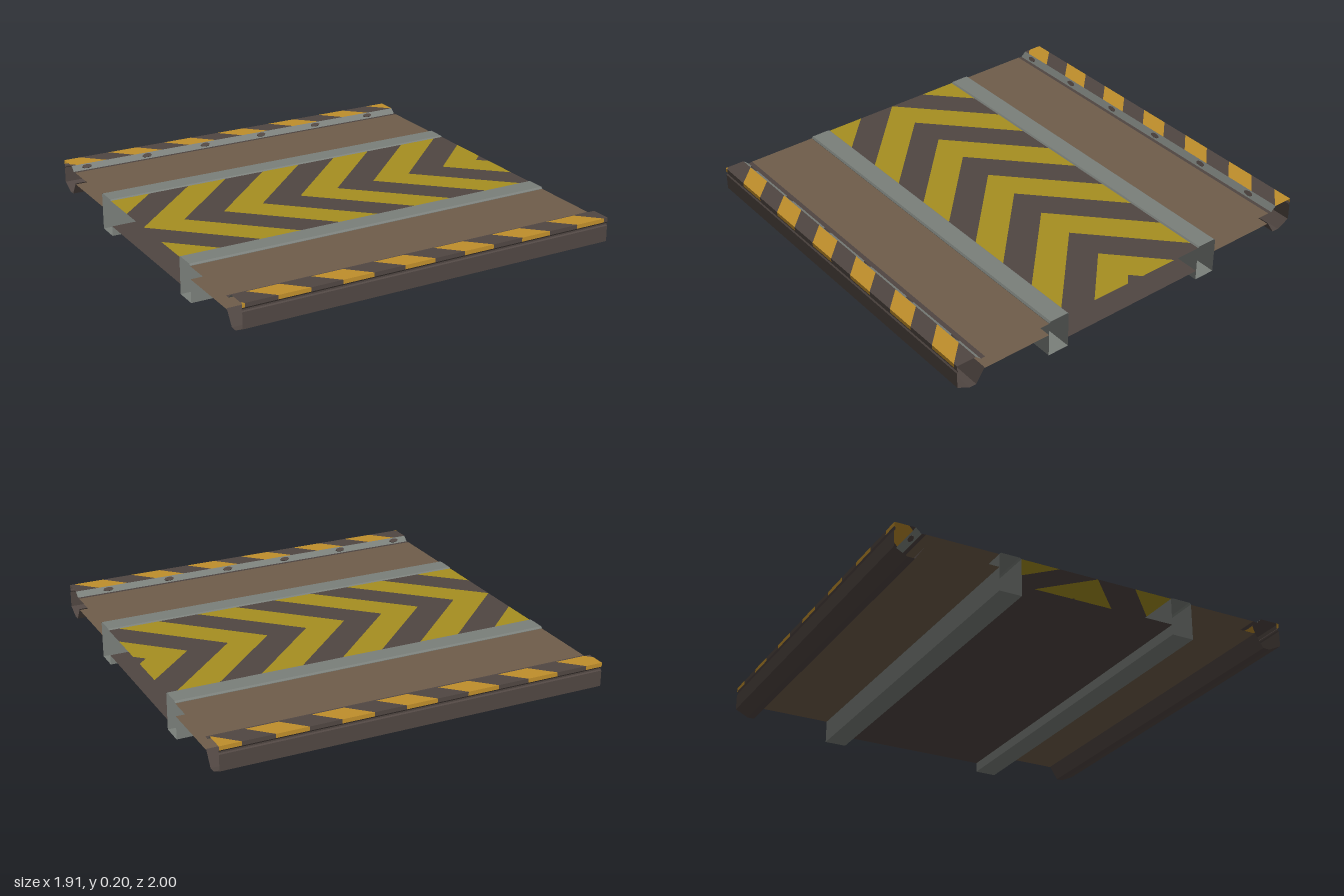
import * as THREE from 'three';

const HALF = 0.955; // half length along x

const mat = (name, color) => {
  const m = new THREE.MeshStandardMaterial({ color, side: THREE.DoubleSide });
  m.name = name;
  return m;
};

// Open sheet: a [z, y] profile swept along x, with hard folds
function sheet(profile) {
  const pos = [];
  for (let i = 0; i < profile.length - 1; i++) {
    const [z0, y0] = profile[i], [z1, y1] = profile[i + 1];
    pos.push(-HALF, y0, z0, HALF, y0, z0, HALF, y1, z1);
    pos.push(-HALF, y0, z0, HALF, y1, z1, -HALF, y1, z1);
  }
  return toGeometry(pos);
}

function toGeometry(pos) {
  const g = new THREE.BufferGeometry();
  g.setAttribute('position', new THREE.Float32BufferAttribute(pos, 3));
  g.computeVertexNormals();
  return g;
}

// Keep the part of an [x, t] polygon where sign * x <= HALF
function clip(poly, sign) {
  const out = [];
  poly.forEach((a, i) => {
    const b = poly[(i + 1) % poly.length];
    const da = HALF - sign * a[0], db = HALF - sign * b[0];
    if (da >= 0) out.push(a);
    if (da * db < 0) {
      const k = da / (da - db);
      out.push([a[0] + (b[0] - a[0]) * k, a[1] + (b[1] - a[1]) * k]);
    }
  });
  return out;
}

// Alternating slanted bands between two [z, y] lines.
// s0, s1: where a bright band starts in x on each line; parity 0 = bright, 1 = dark
function bands(p0, p1, s0, s1, period, parity) {
  const pos = [], w = period / 2;
  const point = ([x, t]) => [x, p0[1] + (p1[1] - p0[1]) * t, p0[0] + (p1[0] - p0[0]) * t];
  for (let k = -8; k < 9; k++) {
    const d = k * period + parity * w;
    const quad = [[s0 + d, 0], [s0 + d + w, 0], [s1 + d + w, 1], [s1 + d, 1]];
    const poly = clip(clip(quad, 1), -1);
    for (let i = 1; i < poly.length - 1; i++) {
      pos.push(...point(poly[0]), ...point(poly[i]), ...point(poly[i + 1]));
    }
  }
  return toGeometry(pos);
}

export function createModel() {
  const root = new THREE.Group();
  root.name = 'floorPanel';

  const dark = mat('darkMetal', 0x504642);
  const brown = mat('brownMetal', 0x6f5d4a);
  const grey = mat('greySteel', 0x7a7f7a);
  const yellow = mat('chevronYellow', 0xa68f20);
  const orange = mat('hazardOrange', 0xbf8e2b);

  const add = (name, geometry, material, parent = root) => {
    const m = new THREE.Mesh(geometry, material);
    m.name = name;
    parent.add(m);
    return m;
  };

  // Closed underside between the two channels
  add('centerUnderside', sheet([[0.39, 0.05], [-0.39, 0.05]]), dark);

  for (const s of [1, -1]) {
    const side = new THREE.Group();
    side.name = s > 0 ? 'frontHalf' : 'backHalf';
    root.add(side);
    const at = (pts) => pts.map(([z, y]) => [z * s, y]);
    const strip = (name, pts, material) => add(name, sheet(at(pts)), material, side);

    // Chevron deck, one half
    const paint = (name, a, b, s0, s1, period, bright) => {
      const [p0, p1] = at([a, b]);
      add(name + 'Bright', bands(p0, p1, s0, s1, period, 0), bright, side);
      add(name + 'Dark', bands(p0, p1, s0, s1, period, 1), dark, side);
    };
    paint('chevronDeck', [0, 0.182], [0.39, 0.182], -0.955, -0.545, 0.414, yellow);

    // Square steel channel
    strip('channel', [
      [0.39, 0.182], [0.398, 0.187], [0.492, 0.187], [0.5, 0.18],
      [0.5, 0], [0.39, 0], [0.39, 0.182],
    ], grey);

    // Brown side deck and its underside
    strip('sideDeck', [[0.5, 0.178], [0.852, 0.178]], brown);
    strip('sideUnderside', [[0.5, 0.115], [0.855, 0.115]], brown);

    // Curb: dark gutter, steel inner slope, outer wall and folded lower lip
    strip('gutter', [[0.852, 0.178], [0.873, 0.176]], dark);
    strip('curbSlope', [[0.873, 0.176], [0.9, 0.2]], grey);
    strip('curbWall', [
      [1, 0.18], [0.994, 0.172], [0.994, 0.165], [1, 0.16],
      [1, 0.082], [0.935, 0.05], [0.9, 0.05], [0.855, 0.12],
    ], dark);

    // Hazard stripes on the curb top and rim
    const outer = s > 0 ? -0.785 : -0.712;
    paint('curbTop', [0.9, 0.2], [1, 0.2], outer - 0.1 * s, outer, 0.3125, orange);
    paint('curbRim', [1, 0.2], [1, 0.18], outer, outer, 0.3125, orange);

    // Small dark studs along the inner slope
    for (let i = 0; i < 6; i++) {
      const stud = add('stud', new THREE.CylinderGeometry(0.011, 0.011, 0.006, 8), dark, side);
      stud.scale.x = 2.4;
      stud.position.set(-0.878 + i * 0.333, 0.189, s * 0.886);
      stud.rotation.x = -s * Math.atan2(0.024, 0.027);
    }
  }
  return root;
}
